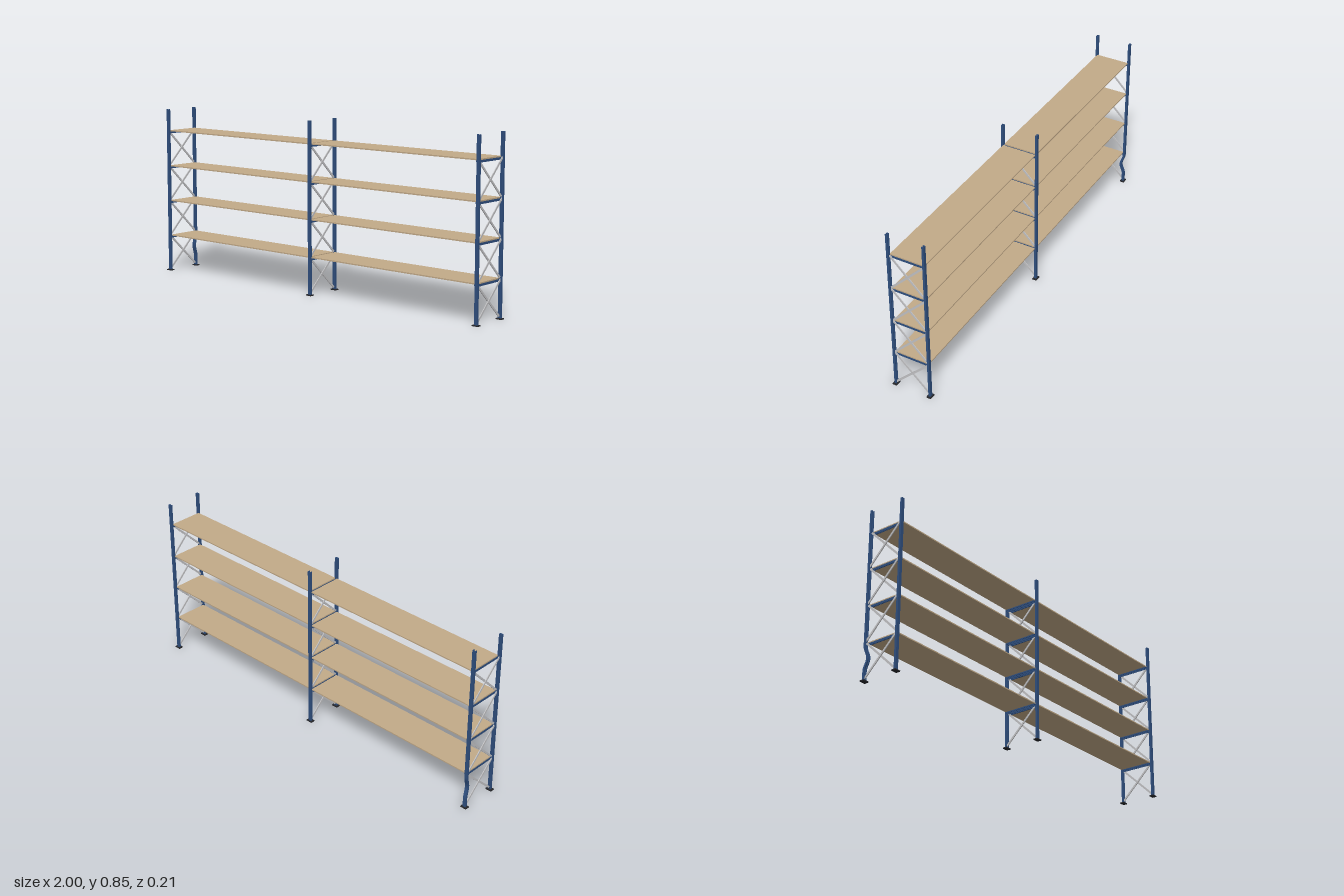
import * as THREE from 'three';

const mat = (name, color) => {
  const m = new THREE.MeshStandardMaterial({ color });
  m.name = name;
  return m;
};

export function createModel() {
  const blue = mat('blue steel', 0x2f4f7f);
  const grey = mat('galvanised steel', 0xc2c2c4);
  const tan = mat('shelf board', 0xc2aa88);
  const dark = mat('dark foot', 0x25262a);

  const FRAME_X = 0.984, POST_Z = 0.0915, HEIGHT = 0.85;
  const LEVELS = [0.19, 0.374, 0.557, 0.741]; // shelf tops
  const rack = new THREE.Group();
  rack.name = 'storageRack';

  function box(parent, name, material, size, pos) {
    const m = new THREE.Mesh(new THREE.BoxGeometry(...size), material);
    m.name = name;
    m.position.set(...pos);
    parent.add(m);
    return m;
  }

  // Lipped channel section, web outward (+z), open side inward
  const section = new THREE.Shape([
    [-0.008, -0.0055], [0.008, -0.0055], [0.008, 0.0055], [0.0035, 0.0055],
    [0.0035, 0.0035], [0.006, 0.0035], [0.006, -0.0035], [-0.006, -0.0035],
    [-0.006, 0.0035], [-0.0035, 0.0035], [-0.0035, 0.0055], [-0.008, 0.0055],
  ].map(([x, y]) => new THREE.Vector2(x, y)));

  function postGeometry(dented) {
    const g = new THREE.ExtrudeGeometry(section, {
      depth: HEIGHT - 0.003, steps: dented ? 100 : 1, bevelEnabled: false,
    });
    g.rotateX(-Math.PI / 2);
    g.translate(0, 0.003, 0);
    if (dented) {
      // Smooth inward dent near the foot
      const p = g.attributes.position;
      for (let i = 0; i < p.count; i++) {
        const t = (p.getY(i) - 0.11) / 0.06;
        if (Math.abs(t) >= 1) continue;
        const bump = Math.cos(t * Math.PI / 2) ** 2;
        p.setZ(i, p.getZ(i) - 0.0145 * bump);
        p.setX(i, p.getX(i) - 0.004 * bump);
      }
      g.computeVertexNormals();
    }
    return g;
  }
  const straight = postGeometry(false), bent = postGeometry(true);

  // Three upright frames
  for (const side of [-1, 0, 1]) {
    const frame = new THREE.Group();
    frame.name = ['rightFrame', 'middleFrame', 'leftFrame'][side + 1];
    frame.position.x = side * FRAME_X;
    rack.add(frame);

    for (const s of [1, -1]) {
      const dented = side === -1 && s === -1;
      const post = new THREE.Mesh(dented ? bent : straight, blue);
      post.name = dented ? 'dentedPost' : s > 0 ? 'frontPost' : 'backPost';
      post.position.z = s * POST_Z;
      if (s < 0) post.rotation.y = Math.PI;
      frame.add(post);
      box(frame, 'footPlate', dark, [0.032, 0.005, 0.023], [0, 0.0025, s * POST_Z]);
    }

    // Crossed braces, one pair below each shelf
    LEVELS.forEach((top, i) => {
      const y0 = i ? LEVELS[i - 1] + 0.002 : 0.014;
      const y1 = top - 0.006;
      const dz = 0.176, dy = y1 - y0;
      for (const s of [1, -1]) {
        const brace = box(frame, 'crossBrace', grey, [0.004, 0.0095, Math.hypot(dz, dy)],
          [s * 0.0021, (y0 + y1) / 2, 0]);
        brace.rotation.x = s * Math.atan2(dy, dz);
      }

      // Angle bars carrying the shelf ends, on each side that has a bay
      for (const s of [1, -1]) {
        if (s === side) continue;
        box(frame, 'supportWeb', blue, [0.002, 0.011, 0.174], [s * 0.006, top - 0.0115, 0]);
        box(frame, 'supportLedge', blue, [0.011, 0.002, 0.174], [s * 0.0115, top - 0.007, 0]);
        box(frame, 'supportLip', blue, [0.002, 0.007, 0.174], [s * 0.016, top - 0.0095, 0]);
      }
    });
  }

  // Shelf boards in both bays
  for (const s of [1, -1]) {
    for (const top of LEVELS) {
      box(rack, 'shelf', tan, [0.972, 0.006, 0.175], [s * FRAME_X / 2, top - 0.003, 0]);
    }
  }

  return rack;
}
